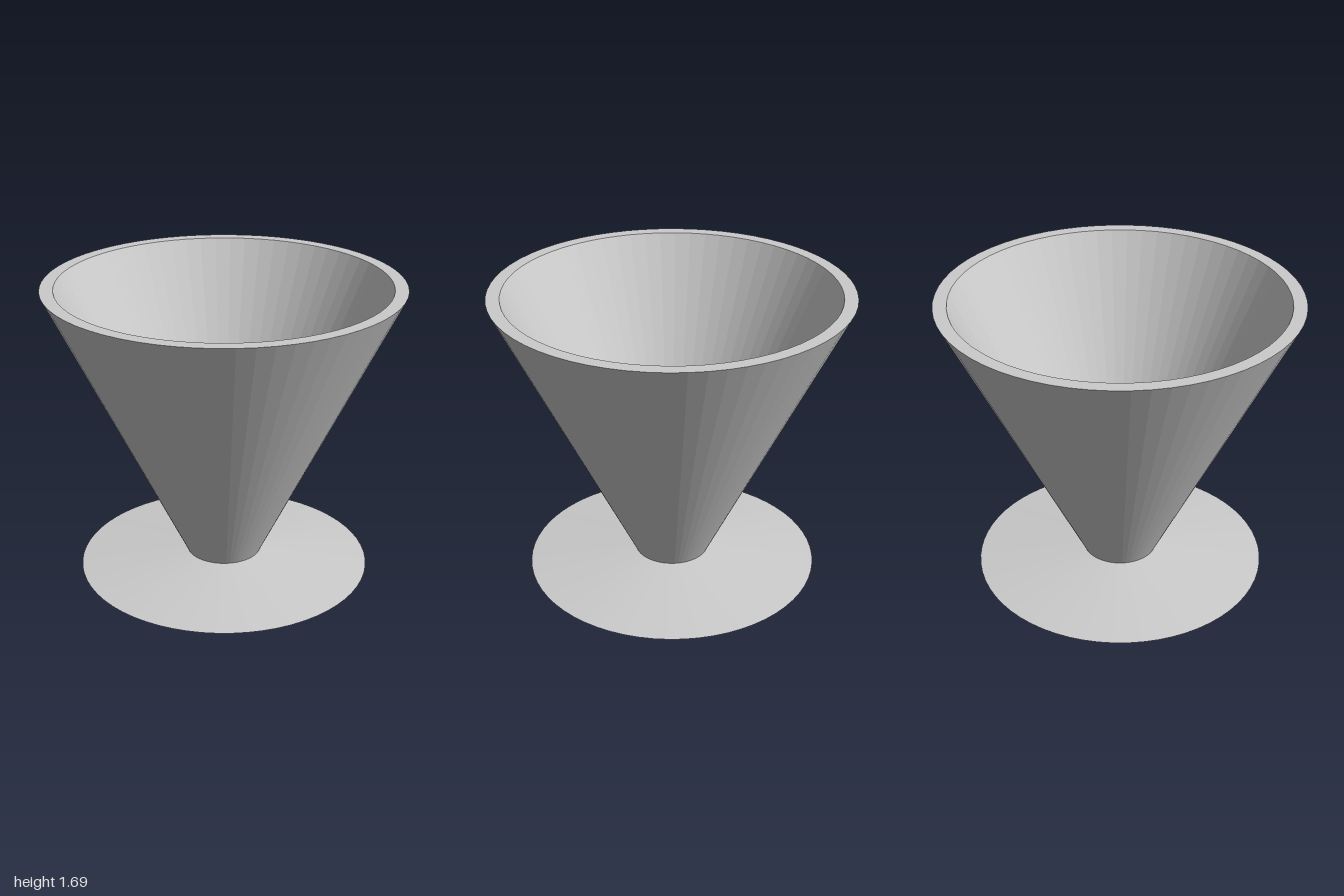
import * as THREE from 'three';

const SEGMENTS = 64;

// Turned part from a list of [radius, height] points
function turned(name, profile) {
  const points = profile.map(([r, y]) => new THREE.Vector2(r, y));
  const material = new THREE.MeshStandardMaterial({ color: 0xcccccc, flatShading: true });
  const mesh = new THREE.Mesh(new THREE.LatheGeometry(points, SEGMENTS), material);
  mesh.name = name;
  return mesh;
}

export function createModel() {
  const group = new THREE.Group();
  group.name = 'conicalCup';

  // Shallow conical foot with a flat underside
  group.add(turned('foot', [[0, 0], [0.84, 0], [0.215, 0.07], [0, 0.07]]));

  // Thick-walled bowl: outer wall, flat rim, inner wall, flat floor
  group.add(turned('bowl', [[0.215, 0.07], [1, 1.69], [0.925, 1.69], [0.225, 0.245], [0, 0.245]]));

  return group;
}
